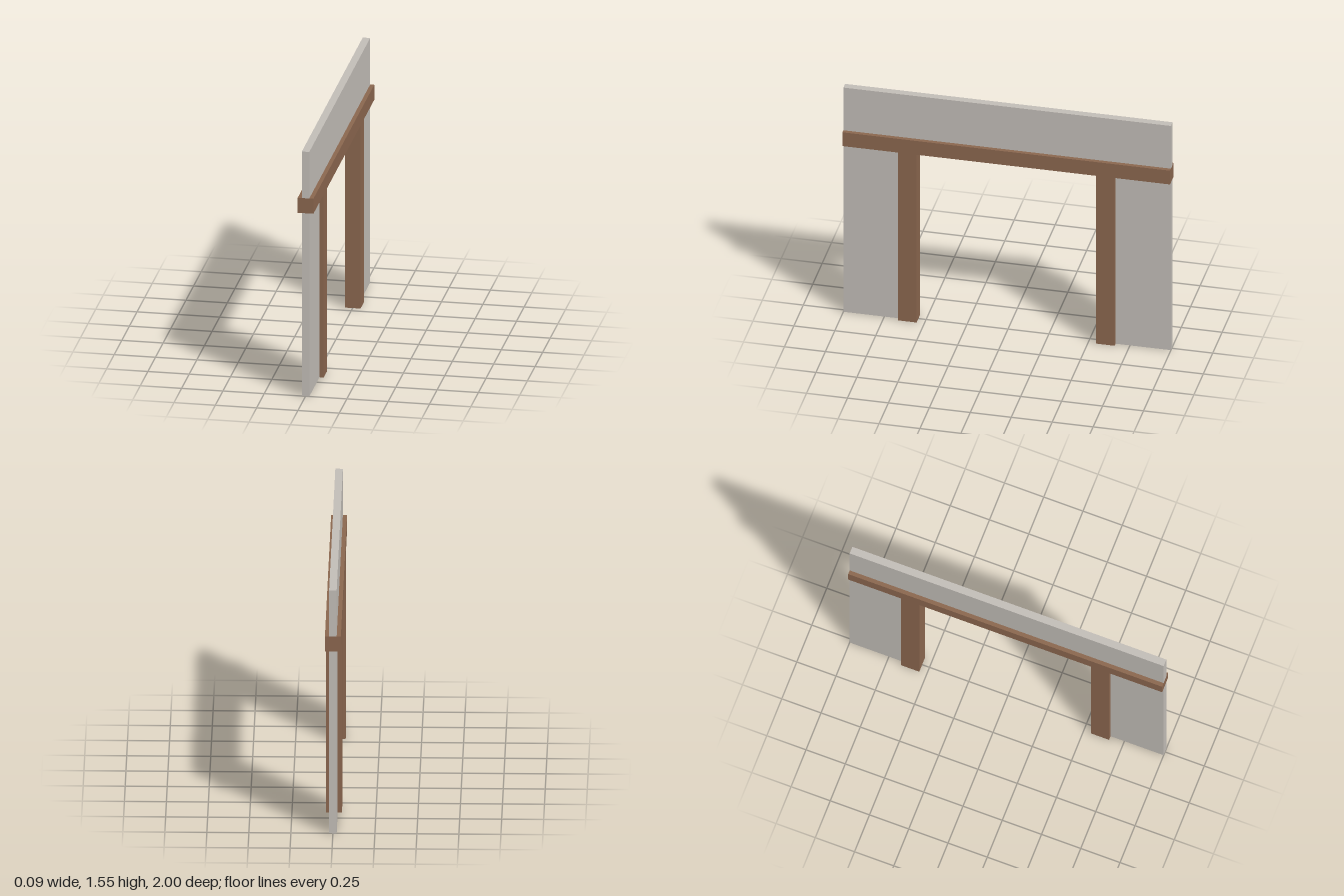
import * as THREE from 'three';

export function createModel() {
  const model = new THREE.Group();
  model.name = 'doorwayWall';

  const plaster = new THREE.MeshStandardMaterial({ color: 0xc1bcb6 });
  plaster.name = 'plaster';
  const wood = new THREE.MeshStandardMaterial({ color: 0x8a664e });
  wood.name = 'wood';

  const WALL = 0.045, TIMBER = 0.095; // thicknesses along x
  const BEAM_LOW = 1.16, BEAM_HIGH = 1.255, TOP = 1.55;
  const POST_IN = 0.547, POST_OUT = 0.662;

  // Box spanning y0..y1 and z0..z1, centred on x = 0
  function slab(name, material, thickness, y0, y1, z0, z1) {
    const mesh = new THREE.Mesh(new THREE.BoxGeometry(thickness, y1 - y0, z1 - z0), material);
    mesh.position.set(0, (y0 + y1) / 2, (z0 + z1) / 2);
    mesh.name = name;
    model.add(mesh);
  }

  // Wall above the opening and the lintel beam carrying it
  slab('upperWall', plaster, WALL, BEAM_HIGH, TOP, -1, 1);
  slab('lintelBeam', wood, TIMBER, BEAM_LOW, BEAM_HIGH, -1, 1);

  // Wall panel and door post at each end
  slab('frontWallPanel', plaster, WALL, 0, BEAM_LOW, POST_OUT, 1);
  slab('backWallPanel', plaster, WALL, 0, BEAM_LOW, -1, -POST_OUT);
  slab('frontPost', wood, TIMBER, 0, BEAM_LOW, POST_IN, POST_OUT);
  slab('backPost', wood, TIMBER, 0, BEAM_LOW, -POST_OUT, -POST_IN);

  return model;
}
